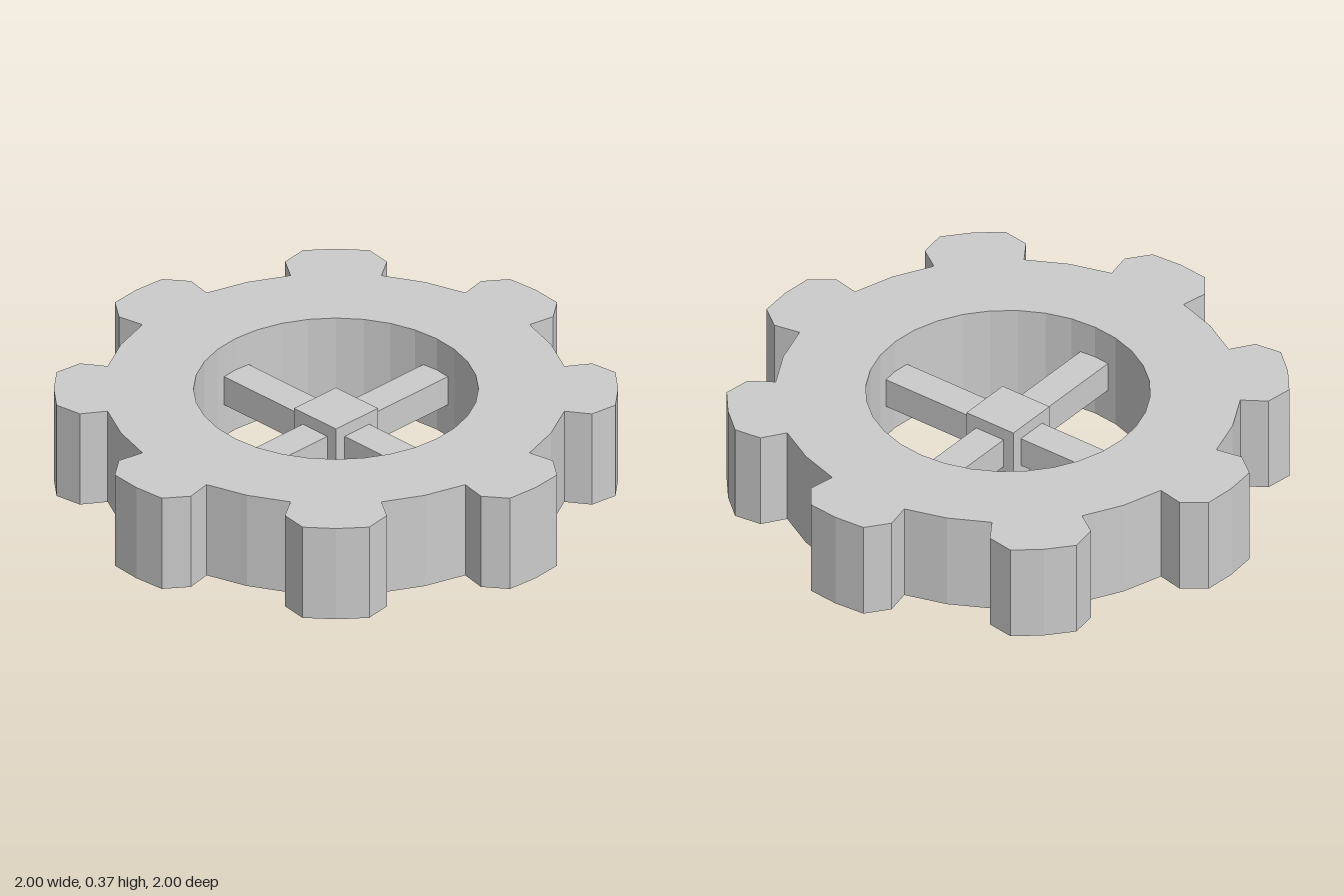
import * as THREE from 'three';

const HEIGHT = 0.37;
const polar = (radius, degrees) => {
  const a = THREE.MathUtils.degToRad(degrees);
  return new THREE.Vector2(radius * Math.cos(a), radius * Math.sin(a));
};

export function createModel() {
  const model = new THREE.Group();
  const material = new THREE.MeshStandardMaterial({ color: 0xcccccc, flatShading: true });
  const add = (name, geometry) => {
    const mesh = new THREE.Mesh(geometry, material);
    mesh.name = name;
    model.add(mesh);
    return mesh;
  };

  // Outline of one tooth plus the root after it: [radius, degrees]
  const tooth = [
    [0.825, -11.25], [0.925, -11.25], [0.997, -6.8], [1, 0],
    [0.997, 6.8], [0.925, 11.25], [0.825, 11.25], [0.825, 22.5],
  ];
  const outline = [];
  for (let i = 0; i < 8; i++) {
    for (const [radius, degrees] of tooth) outline.push(polar(radius, degrees + i * 45));
  }

  // Toothed ring with a 32-sided bore
  const shape = new THREE.Shape(outline);
  const bore = [];
  for (let i = 0; i < 32; i++) bore.push(polar(0.505, -i * 11.25));
  shape.holes.push(new THREE.Path(bore));
  const ring = new THREE.ExtrudeGeometry(shape, { depth: HEIGHT, bevelEnabled: false });
  ring.rotateX(-Math.PI / 2);
  add('gearRing', ring);

  // Cube hub at mid height
  add('hub', new THREE.BoxGeometry(0.21, 0.21, 0.21)).position.y = HEIGHT / 2;

  // Four spokes from the hub to the bore
  for (let i = 0; i < 4; i++) {
    const geometry = new THREE.BoxGeometry(0.41, 0.115, 0.123);
    geometry.translate(0.3, HEIGHT / 2, 0);
    add('spoke' + (i + 1), geometry).rotation.y = (i * Math.PI) / 2;
  }

  return model;
}
